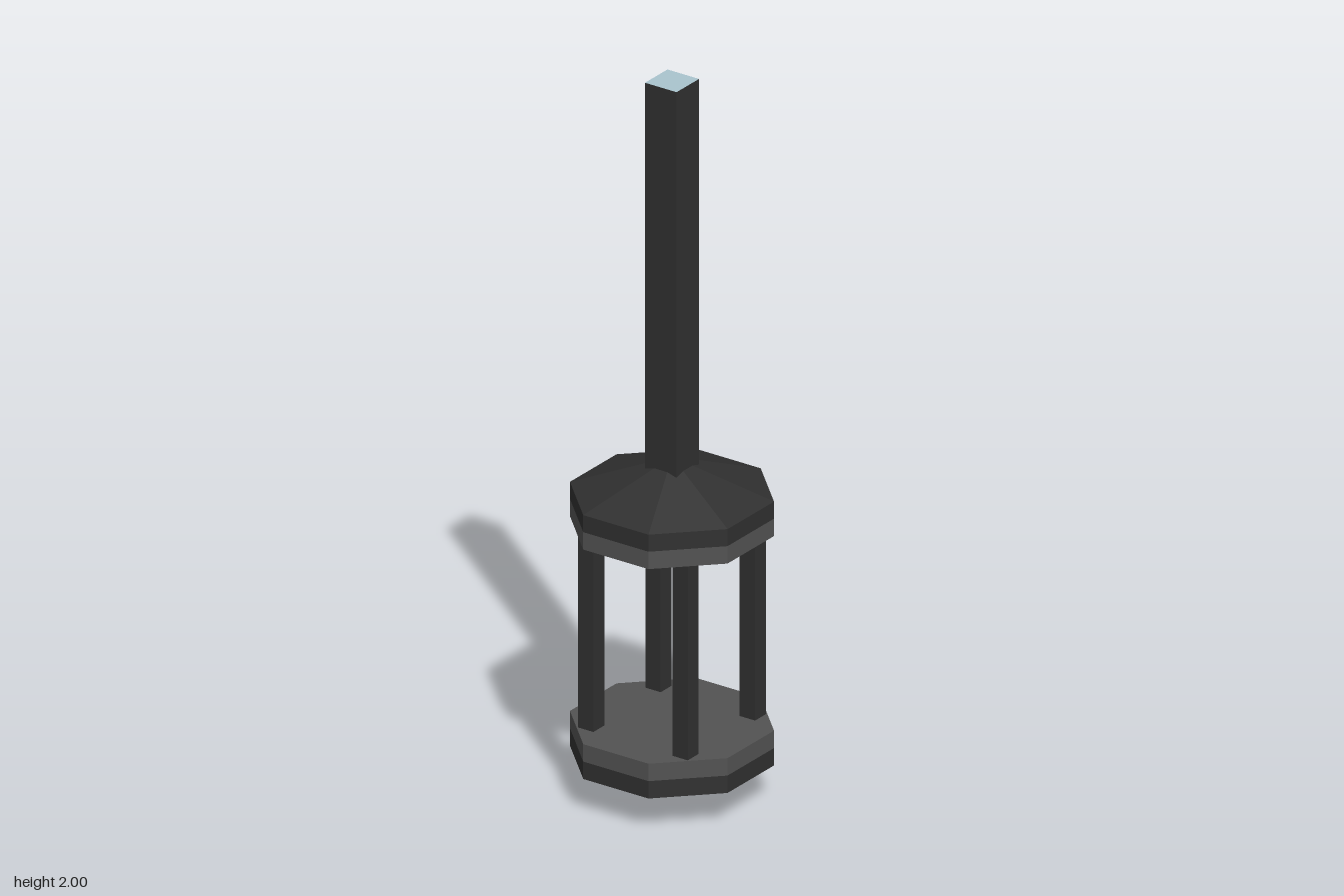
import * as THREE from 'three';

export function createModel() {
  const model = new THREE.Group();
  model.name = 'hangingLantern';

  const material = (name, color) => {
    const m = new THREE.MeshStandardMaterial({ color, flatShading: true });
    m.name = name;
    return m;
  };
  const darkIron = material('darkIron', 0x303030);
  const greyIron = material('greyIron', 0x525252);
  const paleBlue = material('paleBlue', 0xa9c4ce);

  const add = (name, geometry, mat, x, y, z) => {
    const mesh = new THREE.Mesh(geometry, mat);
    mesh.name = name;
    mesh.position.set(x, y, z);
    model.add(mesh);
  };

  // Octagonal prism or cone with flat sides facing the axes
  const radius = 0.247 / Math.cos(Math.PI / 8);
  const octagon = (name, rTop, rBottom, y0, y1, mat, open = false) => add(
    name,
    new THREE.CylinderGeometry(rTop, rBottom, y1 - y0, 8, 1, open, Math.PI / 8),
    mat, 0, (y0 + y1) / 2, 0);

  // Base: pointed underside, dark rim, grey floor
  octagon('basePoint', 0, radius, 0, 0.1, darkIron, true);
  model.children[0].rotation.x = Math.PI;
  octagon('baseRim', radius, radius, 0.1, 0.149, darkIron, true);
  octagon('baseFloor', radius, radius, 0.149, 0.198, greyIron);

  // Four corner posts
  const post = new THREE.BoxGeometry(0.048, 0.55, 0.048);
  for (const x of [-0.148, 0.148])
    for (const z of [-0.148, 0.148]) add('cornerPost', post, darkIron, x, 0.472, z);

  // Roof: grey ceiling, dark rim, low pointed top
  octagon('ceiling', radius, radius, 0.746, 0.795, greyIron);
  octagon('roofRim', radius, radius, 0.795, 0.843, darkIron, true);
  octagon('roofPoint', 0, radius, 0.843, 0.942, darkIron, true);

  // Hanging rod with a pale upper end
  add('hangingRod', new THREE.BoxGeometry(0.099, 1.1, 0.099),
    [darkIron, darkIron, paleBlue, darkIron, darkIron, darkIron], 0, 1.45, 0);

  return model;
}
